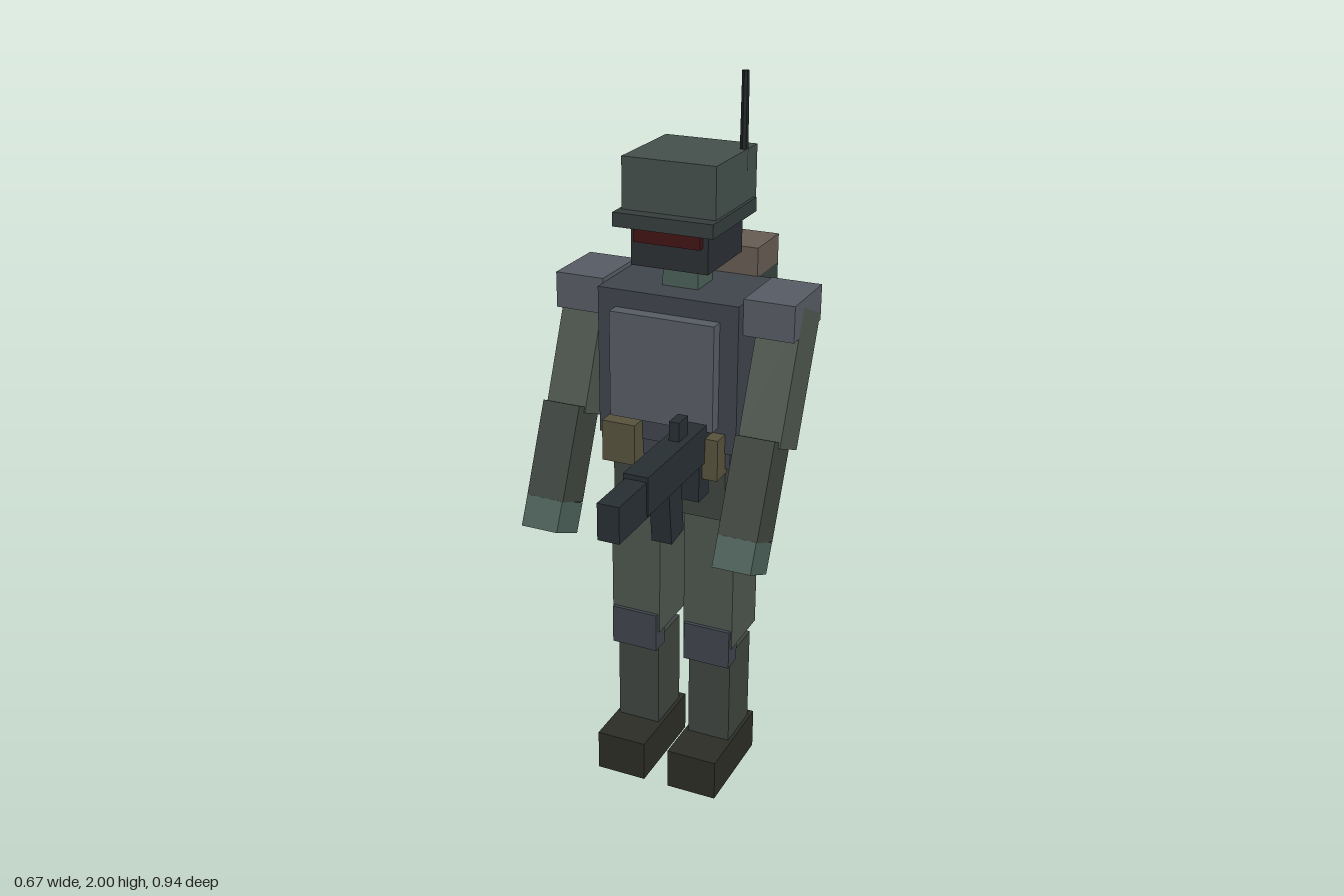
import * as THREE from 'three';

const material = (color) => new THREE.MeshStandardMaterial({ color, flatShading: true });
const MAT = {
  armor: material(0x3f434b), plate: material(0x565b63), cloth: material(0x4c544c),
  trousers: material(0x3d443e), boots: material(0x2b2c25), helmet: material(0x434f4b),
  brim: material(0x343d3c), face: material(0x2a2f33), visor: material(0x421414),
  skin: material(0x4a5f57), pouch: material(0x56513c), pack: material(0x35413d),
  roll: material(0x655b51), gun: material(0x272e32), antenna: material(0x1c2222),
};

export function createModel() {
  const root = new THREE.Group();
  root.name = 'soldier';

  // Box given by its limits on each axis
  function box(name, mat, [x0, x1], [y0, y1], [z0, z1]) {
    const mesh = new THREE.Mesh(new THREE.BoxGeometry(x1 - x0, y1 - y0, z1 - z0), MAT[mat]);
    mesh.position.set((x0 + x1) / 2, (y0 + y1) / 2, (z0 + z1) / 2);
    mesh.name = name;
    root.add(mesh);
    return mesh;
  }

  // Box running between two points in the side plane, each point being [y, z]
  function limb(name, mat, x, width, depth, [y0, z0], [y1, z1]) {
    const length = Math.hypot(y1 - y0, z1 - z0);
    const mesh = new THREE.Mesh(new THREE.BoxGeometry(width, length, depth), MAT[mat]);
    mesh.position.set(x, (y0 + y1) / 2, (z0 + z1) / 2);
    mesh.rotation.x = Math.atan2(z0 - z1, y0 - y1);
    mesh.name = name;
    root.add(mesh);
  }

  // Head and helmet
  box('neck', 'skin', [-0.05, 0.05], [1.44, 1.54], [-0.245, -0.15]);
  box('head', 'face', [-0.107, 0.107], [1.525, 1.7], [-0.305, -0.08]);
  box('visor', 'visor', [-0.092, 0.092], [1.592, 1.632], [-0.1, -0.062]);
  box('helmetBrim', 'brim', [-0.138, 0.138], [1.633, 1.67], [-0.322, -0.036]);
  box('helmet', 'helmet', [-0.129, 0.129], [1.657, 1.805], [-0.34, -0.073]);
  const antenna = new THREE.Mesh(new THREE.CylinderGeometry(0.01, 0.012, 0.25, 8), MAT.antenna);
  antenna.position.set(0.118, 1.875, -0.276);
  antenna.name = 'antenna';
  root.add(antenna);

  // Torso, belt and hips
  box('torso', 'armor', [-0.198, 0.198], [1.05, 1.458], [-0.325, -0.068]);
  box('chestPlate', 'plate', [-0.147, 0.147], [1.12, 1.41], [-0.08, -0.03]);
  box('belt', 'armor', [-0.18, 0.18], [1.005, 1.05], [-0.315, -0.073]);
  box('hips', 'trousers', [-0.164, 0.164], [0.845, 1.01], [-0.307, -0.083]);

  // Backpack with a bedroll on top
  box('backpack', 'pack', [-0.147, 0.147], [1.08, 1.455], [-0.471, -0.32]);
  box('bedroll', 'roll', [-0.147, 0.147], [1.455, 1.535], [-0.471, -0.32]);

  for (const side of [-1, 1]) {
    const label = side > 0 ? 'left' : 'right';
    const span = (a, b) => (side > 0 ? [a, b] : [-b, -a]);

    // Belt pouch
    box(label + 'Pouch', 'pouch', span(0.071, 0.167), [0.99, 1.105], [-0.085, -0.02]);

    // Leg
    box(label + 'Thigh', 'cloth', span(0.037, 0.184), [0.438, 0.85], [-0.283, -0.106]);
    box(label + 'Shin', 'trousers', span(0.048, 0.174), [0.11, 0.406], [-0.27, -0.122]);
    box(label + 'KneePad', 'armor', span(0.043, 0.18), [0.38, 0.495], [-0.153, -0.095]);
    box(label + 'Boot', 'boots', span(0.037, 0.184), [0, 0.12], [-0.293, 0.0]);

    // Arm, swung forward
    box(label + 'ShoulderPad', 'plate', span(0.198, 0.336), [1.373, 1.47], [-0.295, -0.098]);
    limb(label + 'UpperArm', 'cloth', side * 0.278, 0.116, 0.138, [1.42, -0.228], [1.087, -0.087]);
    limb(label + 'Forearm', 'trousers', side * 0.277, 0.108, 0.122, [1.118, -0.055], [0.881, 0.05]);
    limb(label + 'Hand', 'skin', side * 0.277, 0.106, 0.126, [0.881, 0.05], [0.804, 0.086]);
  }

  // Rifle
  box('rifleBody', 'gun', [0.064, 0.131], [1.037, 1.14], [-0.07, 0.323]);
  box('rifleBarrel', 'gun', [0.069, 0.127], [1.03, 1.127], [0.3, 0.473]);
  box('rifleSight', 'gun', [0.083, 0.111], [1.13, 1.192], [0.045, 0.1]);
  box('rifleGrip', 'gun', [0.072, 0.124], [0.93, 1.05], [-0.065, 0.0]);
  limb('rifleMagazine', 'gun', 0.098, 0.056, 0.075, [1.06, 0.156], [0.893, 0.137]);

  return root;
}
